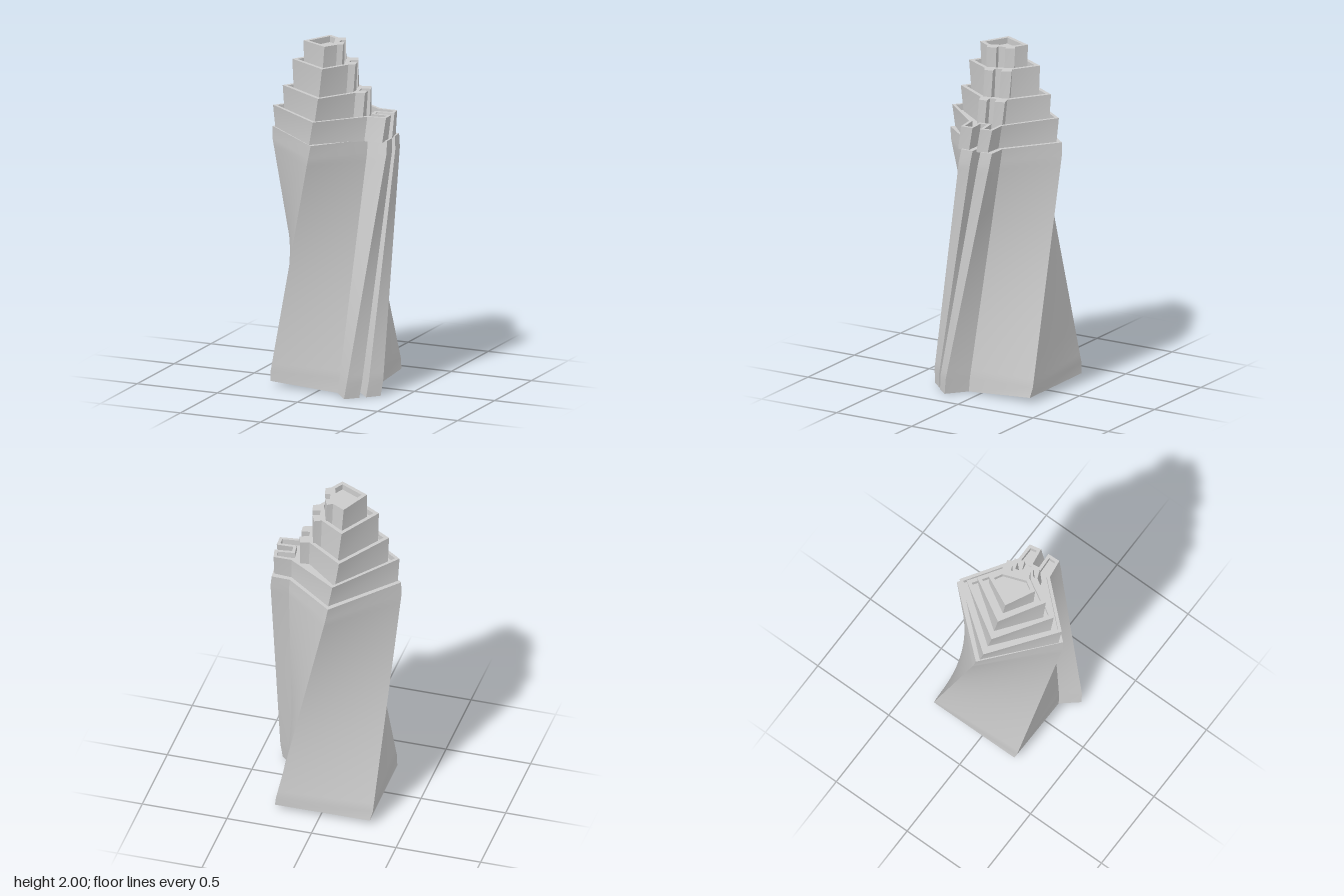
import * as THREE from 'three';
import { mergeGeometries } from 'three/addons/utils/BufferGeometryUtils.js';

const material = new THREE.MeshStandardMaterial({ color: 0xcccccc });
const DEG = Math.PI / 180;

// Outlines as [x, z]: front, left, back corners, then the two ribs of the spine, ending at the spine's front foot
const bodyLow = [[-0.285, 0.245], [-0.31, -0.322], [0.255, -0.347], [0.275, 0.06], [0.378, 0.158], [0.32, 0.228],
  [0.23, 0.143], [0.2, 0.17], [0.29, 0.255], [0.227, 0.325], [0.138, 0.23]];
const bodyHigh = [[0, 0.356], [-0.382, 0.008], [-0.04, -0.358], [0.245, -0.125], [0.355, -0.118], [0.36, -0.045],
  [0.255, -0.035], [0.255, 0.005], [0.362, 0.005], [0.362, 0.08], [0.245, 0.088]];
const tiers = [
  { y: 1.6, channels: true, ring: [[0.02, 0.335], [-0.355, 0.06], [-0.07, -0.32], [0.23, -0.125], [0.335, -0.125],
    [0.35, -0.055], [0.25, -0.04], [0.255, 0], [0.352, -0.005], [0.355, 0.07], [0.245, 0.085]] },
  { y: 1.725, ring: [[0.025, 0.275], [-0.29, 0.07], [-0.09, -0.255], [0.13, -0.1], [0.18, -0.115],
    [0.2, -0.06], [0.15, -0.04], [0.155, 0], [0.205, -0.01], [0.21, 0.04], [0.16, 0.06]] },
  { y: 1.885, ring: [[0.025, 0.22], [-0.23, 0.07], [-0.085, -0.185], [0.06, -0.09], [0.1, -0.11],
    [0.125, -0.055], [0.085, -0.04], [0.095, 0], [0.14, -0.01], [0.15, 0.04], [0.115, 0.06]] },
  { y: 2, ring: [[0.01, 0.155], [-0.16, 0.07], [-0.075, -0.11], [0, -0.07], [0.03, -0.09],
    [0.055, -0.04], [0.03, -0.03], [0.04, 0.015], [0.07, 0.01], [0.085, 0.065], [0.055, 0.08]] },
];

// Turn an outline about the tower's axis and scale it
function turn(ring, degrees, scale = 1) {
  const c = Math.cos(degrees * DEG) * scale, s = Math.sin(degrees * DEG) * scale;
  return ring.map(([x, z]) => [x * c - z * s, x * s + z * c]);
}

// Mitred inward offset of an outline
function inset(ring, w) {
  const n = ring.length;
  const normal = (a, b) => {
    const l = Math.hypot(b[0] - a[0], b[1] - a[1]);
    return [-(b[1] - a[1]) / l, (b[0] - a[0]) / l];
  };
  return ring.map((p, i) => {
    const m = normal(ring[(i + n - 1) % n], p), k = normal(p, ring[(i + 1) % n]);
    const f = w / (1 + m[0] * k[0] + m[1] * k[1]);
    return [p[0] + (m[0] + k[0]) * f, p[1] + (m[1] + k[1]) * f];
  });
}

const lift = (ring, y) => ring.map(([x, z]) => new THREE.Vector3(x, y, z));

function geometry(points, index) {
  const g = new THREE.BufferGeometry().setFromPoints(points);
  g.setIndex(index);
  g.computeVertexNormals();
  return g;
}

// Walls through a stack of rings: smooth up each side, sharp at the corners
function walls(rings) {
  const n = rings[0].length;
  return mergeGeometries(rings[0].map((_, i) => {
    const points = [], index = [];
    rings.forEach((r, k) => {
      points.push(r[i], r[(i + 1) % n]);
      const a = 2 * k;
      if (k < rings.length - 1) index.push(a, a + 2, a + 1, a + 1, a + 2, a + 3);
    });
    return geometry(points, index);
  }));
}

// Flat cap over a ring, with optional hole, facing up or down
function cap(ring, hole, up = true) {
  const flat = (r) => r.map((p) => new THREE.Vector2(p.x, p.z));
  const points = hole ? [...ring, ...hole] : ring;
  const faces = THREE.ShapeUtils.triangulateShape(flat(ring), hole ? [flat(hole)] : []);
  const index = faces.flatMap(([a, b, c]) => {
    const p = points[a], q = points[b], r = points[c];
    const facesUp = (q.z - p.z) * (r.x - p.x) - (q.x - p.x) * (r.z - p.z) > 0;
    return facesUp === up ? [a, b, c] : [a, c, b];
  });
  return geometry(points, index);
}

function part(name, geometries) {
  const mesh = new THREE.Mesh(mergeGeometries(geometries), material);
  mesh.name = name;
  return mesh;
}

// Twisted shaft with straight ruled corners and a slight tuck at both ends
function shaft() {
  const base = lift(turn(bodyLow, 2.2, 0.99), 0);
  base.forEach((p, i) => { p.y = i < 3 ? 0.03 : [3, 6, 7, 10].includes(i) ? 0.005 : 0; });
  const low = lift(bodyLow, 0.09), high = lift(bodyHigh, 1.39);
  const rings = [base];
  const steps = 28;
  for (let k = 0; k <= steps; k++) rings.push(low.map((p, i) => p.clone().lerp(high[i], k / steps)));
  const top = lift(turn(bodyHigh, -2.2, 0.985), 1.465);
  rings.push(top);
  return part('twistedShaft', [walls(rings), cap(base, null, false), cap(top)]);
}

// Stepped storey with a parapet around a sunken roof
function storey({ y, ring, channels }, bottom, i) {
  const parapet = 0.035;
  const core = channels ? ring : [0, 1, 2, 3, 10].map((k) => ring[k]);
  const inner = inset(core, channels ? 0.018 : 0.022);
  const foot = lift(turn(ring, (y - bottom) * 32, 0.985), bottom);
  const top = lift(ring, y), rim = lift(inner, y), floor = lift(inner, y - parapet);
  return part('setbackStorey' + (i + 1), [walls([foot, top]), cap(top, rim), walls([rim, floor]), cap(floor)]);
}

export function createModel() {
  const tower = new THREE.Group();
  tower.name = 'twistedTower';
  tower.add(shaft());
  tiers.forEach((t, i) => tower.add(storey(t, i ? tiers[i - 1].y - 0.04 : 1.46, i)));
  return tower;
}
